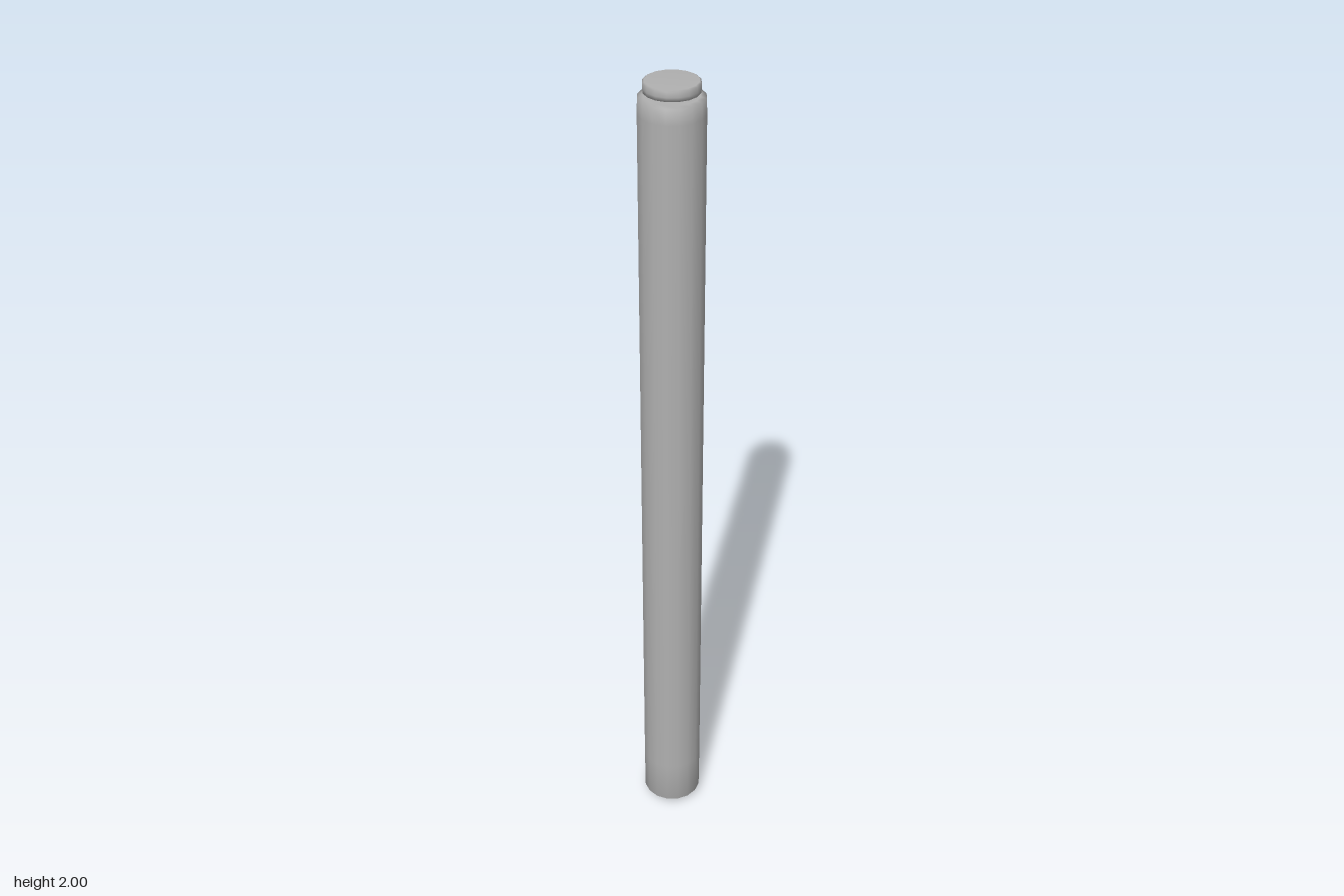
import * as THREE from 'three';

const SIDES = 16;

// Closed turned part from [radius, height] pairs, listed from bottom to top
function turned(name, profile, material) {
  const points = profile.map(([r, h]) => new THREE.Vector2(r, h));
  const mesh = new THREE.Mesh(new THREE.LatheGeometry(points, SIDES), material);
  mesh.name = name;
  return mesh;
}

export function createModel() {
  const group = new THREE.Group();
  group.name = 'capped tube';
  const metal = new THREE.MeshStandardMaterial({ color: 0xb0b0b0 });
  metal.name = 'grey metal';

  // Main shaft, with softly shaded ends
  const shaft = turned('shaft', [
    [0, 0.02], [0.05, 0.02], [0.073, 0.022], [0.074, 0.14],
    [0.074, 1.93], [0.073, 1.965], [0.06, 1.968], [0, 1.968],
  ], metal);

  // Neck and end cap
  const neck = turned('neck', [[0.035, 1.96], [0.035, 1.98]], metal);
  const cap = turned('cap', [
    [0, 1.974], [0.05, 1.974], [0.061, 1.976], [0.062, 1.985],
    [0.062, 1.997], [0.058, 2], [0, 2],
  ], metal);

  // Small pin underneath
  const pin = turned('bottomPin', [
    [0, 0], [0.022, 0], [0.025, 0.003], [0.025, 0.025],
  ], metal);

  // Rear button with a recessed centre
  const button = turned('rearButton', [
    [0.031, 0], [0.031, 0.04], [0.029, 0.042], [0.019, 0.042],
    [0.016, 0.04], [0.014, 0.032], [0, 0.032],
  ], metal);
  button.rotation.x = -Math.PI / 2;
  button.position.set(0, 1.907, -0.054);

  // The upright parts share an axis slightly forward of centre
  for (const part of [shaft, neck, cap, pin]) part.position.z = 0.009;
  button.position.z = -0.045;
  group.add(shaft, neck, cap, pin, button);
  return group;
}
